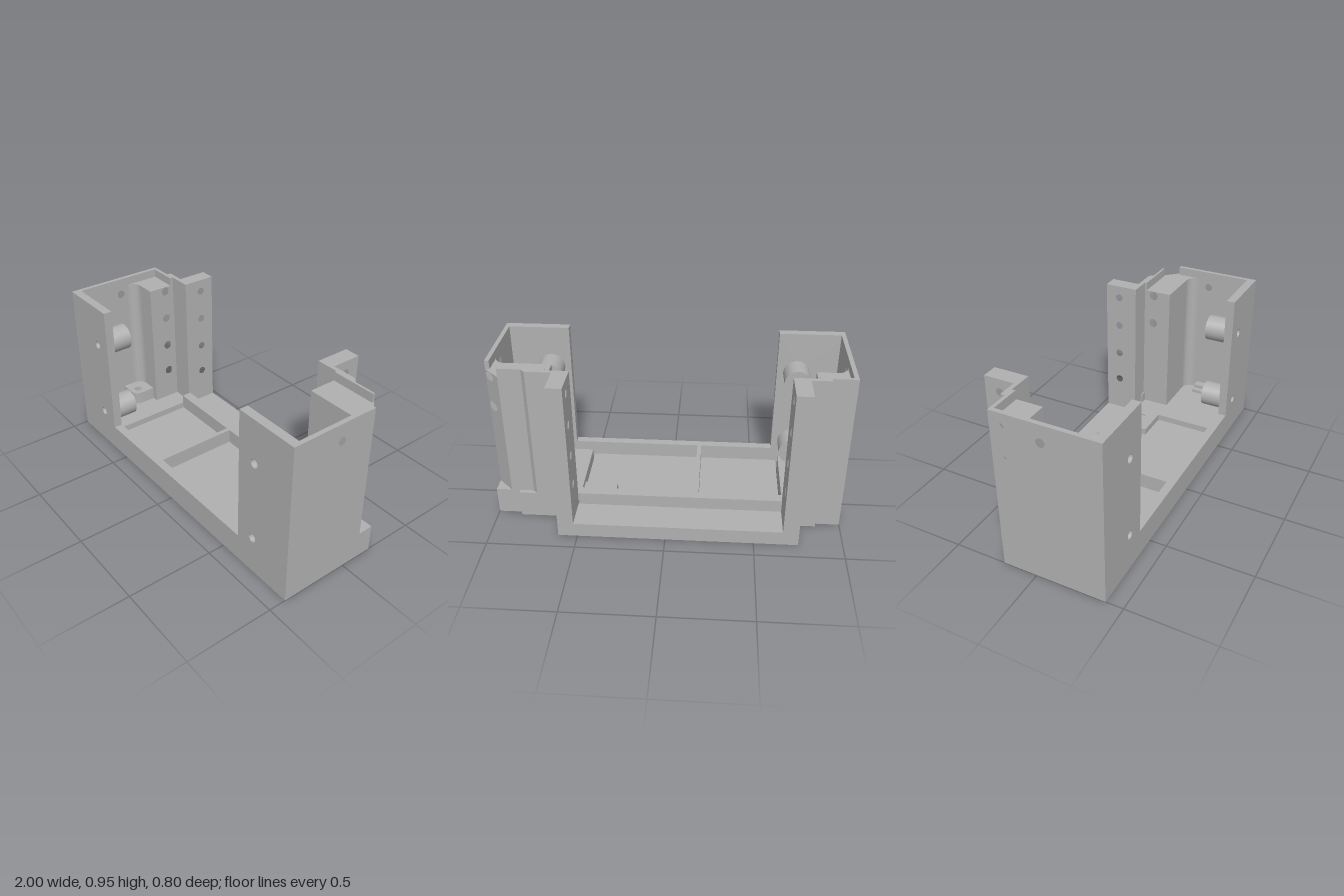
import * as THREE from 'three';
import { toCreasedNormals } from 'three/addons/utils/BufferGeometryUtils.js';

export function createModel() {
  const model = new THREE.Group();
  model.name = 'bracketFrame';
  const grey = new THREE.MeshStandardMaterial({ color: 0xb0b0b0 });
  grey.name = 'plain grey';

  const add = (name, geometry) => {
    const mesh = new THREE.Mesh(toCreasedNormals(geometry, 0.5), grey);
    mesh.name = name;
    model.add(mesh);
    return mesh;
  };
  const box = (name, x0, x1, y0, y1, z0, z1) => add(name,
    new THREE.BoxGeometry(x1 - x0, y1 - y0, z1 - z0)
      .translate((x0 + x1) / 2, (y0 + y1) / 2, (z0 + z1) / 2));
  const shapeOf = (points) => new THREE.Shape(points.map(([a, b]) => new THREE.Vector2(a, b)));
  const rect = (a0, a1, b0, b1) => [[a0, b0], [a1, b0], [a1, b1], [a0, b1]];
  const drill = (shape, a, b, r) => {
    const hole = new THREE.Path();
    hole.absarc(a, b, r, 0, Math.PI * 2, true);
    shape.holes.push(hole);
  };
  const extrude = (shape, depth) =>
    new THREE.ExtrudeGeometry(shape, { depth, bevelEnabled: false, curveSegments: 20 });

  // Slab between x0 and x1: outline and round holes given as [z, y]
  const slabX = (x0, x1, points, holes = [], r = 0.023) => {
    const shape = shapeOf(points.map(([z, y]) => [-z, y]));
    holes.forEach(([z, y]) => drill(shape, -z, y, r));
    return extrude(shape, x1 - x0).rotateY(Math.PI / 2).translate(x0, 0, 0);
  };
  // Slab between y0 and y1: outline given as [x, z]; rectangular and round holes
  const slabY = (y0, y1, points, slots = [], holes = [], r = 0.025) => {
    const shape = shapeOf(points.map(([x, z]) => [x, -z]));
    slots.forEach((s) => shape.holes.push(
      new THREE.Path(s.map(([x, z]) => new THREE.Vector2(x, -z)))));
    holes.forEach(([x, z]) => drill(shape, x, -z, r));
    return extrude(shape, y1 - y0).rotateX(-Math.PI / 2).translate(0, y0, 0);
  };

  // Floor plate with the stepped rear edge and two narrow slits
  add('floor', slabY(0, 0.07, [
    [-1, 0.4], [1, 0.4], [1, -0.2], [0.86, -0.2], [0.86, -0.225], [0.61, -0.225],
    [0.61, -0.4], [-0.75, -0.4], [-0.75, -0.225], [-0.86, -0.225], [-0.86, -0.2], [-1, -0.2],
  ], [rect(-0.667, -0.655, -0.2, 0.35), rect(0.506, 0.518, -0.2, 0.35)]));
  box('rearSill', -0.75, 0.61, 0, 0.085, -0.4, -0.21);
  box('rearRidge', -0.66, 0.515, 0.07, 0.16, -0.21, -0.15);
  box('pocketDivider', -0.18, -0.155, 0.07, 0.16, -0.15, 0.35);
  add('mountingPad', slabY(0.07, 0.11, rect(0.31, 0.506, -0.15, -0.02), [], [[0.44, -0.14 + 0.03]]));
  box('rightTowerFloor', -1, -0.667, 0.05, 0.1, -0.2, 0.35);
  box('leftTowerFloor', 0.518, 1, 0.05, 0.1, -0.2, 0.35);

  // U-shaped front wall with screw holes
  const front = shapeOf([[-1, 0], [1, 0], [1, 0.95], [0.62, 0.95], [0.62, 0.16],
    [-0.62, 0.16], [-0.62, 0.95], [-1, 0.95]]);
  for (const x of [-0.735, 0.735]) {
    for (const y of [0.225, 0.7]) {
      drill(front, x, y, 0.025);
      // Hollow screw boss behind the wall
      const ring = new THREE.Shape().absarc(x, y, 0.077, 0, Math.PI * 2, false);
      drill(ring, x, y, 0.025);
      add('screwBoss', extrude(ring, 0.14).translate(0, 0, 0.21));
    }
  }
  add('frontWall', extrude(front, 0.05).translate(0, 0, 0.35));

  // Outer side walls
  const columnY = [0.685, 0.871];
  add('leftSideWall', slabX(0.975, 1, rect(-0.11, 0.4, 0, 0.95), [[0.098, 0.85]]));
  add('rightSideWall', slabX(-1, -0.975, rect(-0.2, 0.4, 0, 0.95),
    [[0.078, 0.85], ...columnY.map((y) => [-0.14, y])], 0.025));

  // Rear columns, the left one with a slanted, drilled corner
  add('rightColumn', slabX(-0.975, -0.8, rect(-0.2, -0.03, 0.05, 0.9),
    [0.3, 0.49, ...columnY].map((y) => [-0.14, y]), 0.026));
  const slanted = slabX(0.65, 1, rect(-0.2, -0.11, 0.16, 0.9),
    columnY.map((y) => [-0.14, y]), 0.027);
  const p = slanted.attributes.position;
  for (let i = 0; i < p.count; i++) {
    if (p.getX(i) > 0.9) p.setX(i, 1.11 + p.getZ(i));
  }
  slanted.computeVertexNormals();
  add('leftColumnCorner', slanted);
  box('leftColumnInner', 0.65, 0.99, 0.05, 0.9, -0.11, -0.03);
  box('leftColumnFoot', 0.65, 1, 0, 0.16, -0.2, -0.03);
  box('leftRearRim', 0.65, 0.91, 0.88, 0.95, -0.2, -0.187);
  box('rightRearRim', -1, -0.8, 0.88, 0.95, -0.2, -0.18);

  // Concave fillets between columns and side walls
  for (const s of [-1, 1]) {
    const points = [[s * 0.98, -0.035], [s * 0.98, 0.03]];
    for (let i = 0; i <= 10; i++) {
      const a = (i / 10) * Math.PI / 2;
      points.push([s * (0.915 + 0.06 * Math.cos(a)), 0.03 - 0.06 * Math.sin(a)]);
    }
    points.push([s * 0.915, -0.035]);
    add('columnFillet', slabY(0.05, 0.9, points));
  }

  // Rear plates joining the columns to the posts
  add('leftRearPlate', slabY(0, 0.95,
    [[0.52, -0.2], [0.78, -0.2], [0.755, -0.225], [0.52, -0.225]]));
  box('leftRearPlateFoot', 0.61, 0.86, 0, 0.16, -0.225, -0.19);
  box('rightRearPlate', -0.86, -0.66, 0, 0.95, -0.225, -0.2);

  // Drilled rear posts
  const postHoles = [0.3, 0.49, 0.685, 0.875].map((y) => [-0.313, y]);
  for (const [name, x] of [['rightPost', -0.75], ['leftPost', 0.52]]) {
    add(name, slabX(x, x + 0.09, rect(-0.4, -0.2, 0, 0.95), postHoles));
  }

  // Small fittings on the tower floors
  add('cornerBoss', slabY(0.08, 0.18, [[-0.98, -0.03], [-0.835, -0.03], [-0.835, 0.07],
    [-0.845, 0.095], [-0.87, 0.11], [-0.98, 0.11]], [], [[-0.89, 0.055]]));
  box('ledgeLow', 0.89, 0.98, 0.08, 0.12, 0.055, 0.35);
  box('ledgeHigh', 0.925, 0.98, 0.08, 0.14, 0.055, 0.35);

  return model;
}
